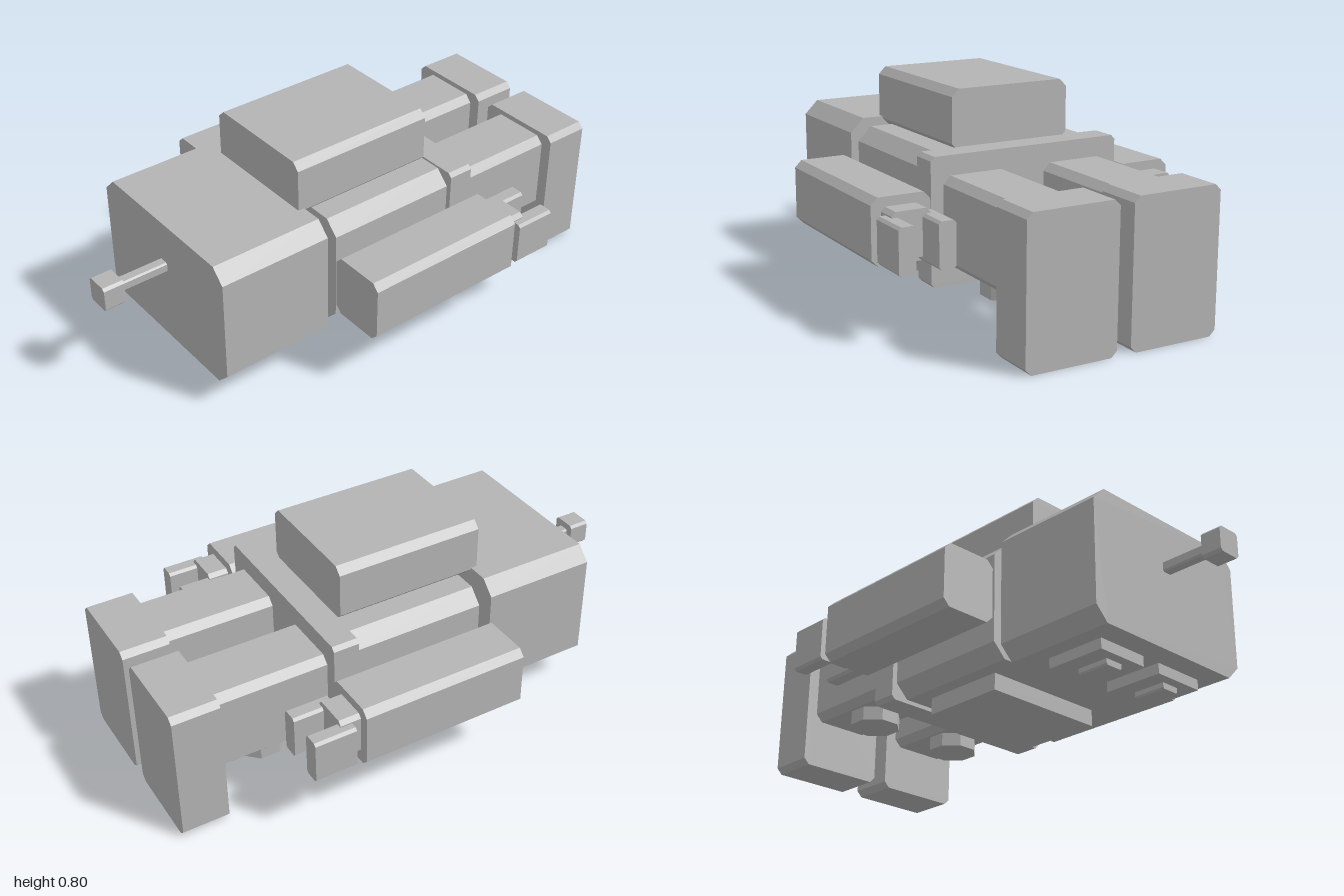
import * as THREE from 'three';

// Bar running along z with chamfered long edges
function bar(x0, x1, y0, y1, z0, z1, c) {
  const s = new THREE.Shape([
    [x0 + c, y0], [x1 - c, y0], [x1, y0 + c], [x1, y1 - c],
    [x1 - c, y1], [x0 + c, y1], [x0, y1 - c], [x0, y0 + c],
  ].map(([x, y]) => new THREE.Vector2(x, y)));
  const g = new THREE.ExtrudeGeometry(s, { depth: z1 - z0, bevelEnabled: false });
  return g.translate(0, 0, z0);
}

function block(x0, x1, y0, y1, z0, z1) {
  return new THREE.BoxGeometry(x1 - x0, y1 - y0, z1 - z0)
    .translate((x0 + x1) / 2, (y0 + y1) / 2, (z0 + z1) / 2);
}

export function createModel() {
  const model = new THREE.Group();
  model.name = 'lyingRobot';
  const grey = new THREE.MeshStandardMaterial({ color: 0xb4b4b4 });
  grey.name = 'plainGrey';

  const add = (name, geometry) => {
    const mesh = new THREE.Mesh(geometry, grey);
    mesh.name = name;
    model.add(mesh);
  };

  // Head, neck and antenna
  add('head', bar(-0.375, 0.375, 0.1, 0.605, 0.285, 0.73, 0.053));
  add('neck', bar(-0.22, 0.22, 0.235, 0.475, 0.23, 0.3, 0.04));
  add('antennaRod', bar(-0.022, 0.022, 0.4, 0.44, 0.72, 0.925, 0.006));
  add('antennaTip', bar(-0.048, 0.048, 0.37, 0.467, 0.92, 1, 0.01));

  // Body, lying face down
  add('torso', bar(-0.365, 0.365, 0.13, 0.58, -0.29, 0.24, 0.053));
  add('chestPlate', block(-0.255, 0.255, 0.065, 0.14, -0.21, 0.13));
  add('backpack', bar(-0.24, 0.24, 0.57, 0.795, -0.275, 0.31, 0.028));
  add('hips', bar(-0.385, 0.385, 0.115, 0.588, -0.385, -0.285, 0.015));

  for (const [side, label] of [[1, 'left'], [-1, 'right']]) {
    // Mirrors the x range for the other side
    const m = (make, a, b, ...rest) => (side > 0 ? make(a, b, ...rest) : make(-b, -a, ...rest));

    // Eyes on the underside of the head
    add(label + 'EyePlate', m(block, 0.04, 0.255, 0.06, 0.11, 0.4, 0.64));
    add(label + 'Pupil', m(bar, 0.11, 0.185, 0.037, 0.07, 0.47, 0.6, 0.006));

    // Arm, palm and two gripping fingers
    add(label + 'Arm', m(bar, 0.393, 0.62, 0.23, 0.475, -0.395, 0.26, 0.026));
    add(label + 'Palm', m(bar, 0.435, 0.582, 0.27, 0.44, -0.475, -0.39, 0.015));
    add(label + 'InnerFinger', m(bar, 0.4, 0.465, 0.25, 0.42, -0.592, -0.43, 0.01));
    add(label + 'OuterFinger', m(bar, 0.55, 0.615, 0.25, 0.42, -0.592, -0.43, 0.01));

    // Leg, knee and foot
    add(label + 'Leg', m(bar, 0.075, 0.335, 0.19, 0.515, -0.825, -0.38, 0.028));
    add(label + 'Knee', new THREE.CylinderGeometry(0.098, 0.098, 0.07, 8).toNonIndexed()
      .rotateY(Math.PI / 8).translate(side * 0.205, 0.17, -0.605));
    add(label + 'Foot', m(bar, 0.028, 0.38, 0, 0.535, -1, -0.82, 0.022));
  }

  // Hard facets on the round parts
  model.traverse((o) => { if (o.isMesh) o.geometry.computeVertexNormals(); });
  return model;
}
